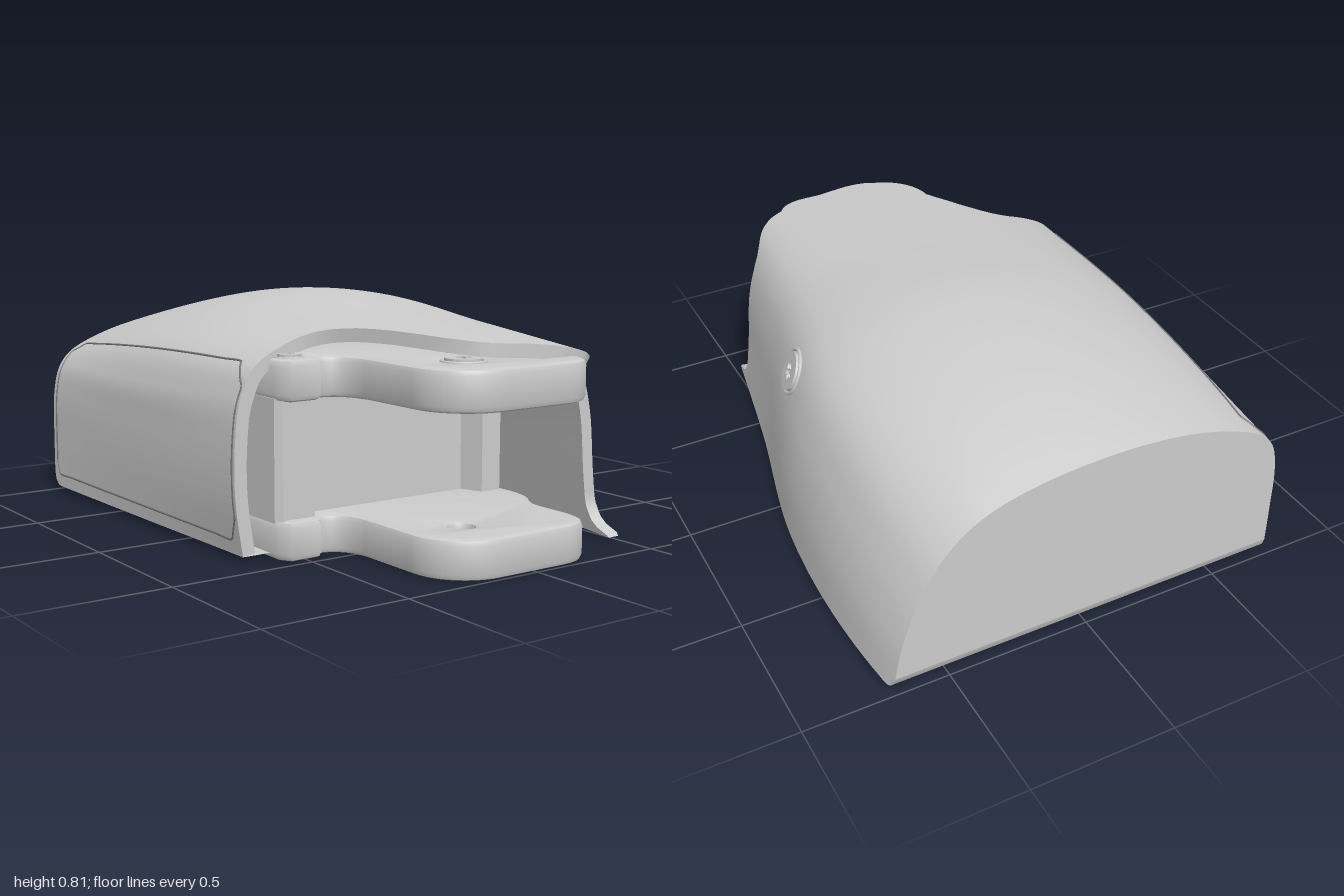
import * as THREE from 'three';
import { toCreasedNormals } from 'three/addons/utils/BufferGeometryUtils.js';

const material = new THREE.MeshStandardMaterial({ color: 0xcccccc });
const shellMaterial = new THREE.MeshStandardMaterial({ color: 0xcccccc, side: THREE.DoubleSide });
const seamMaterial = new THREE.MeshStandardMaterial({ color: 0x777777 });

// Cross-sections of the cover, from the bottom of the -x wall over the top to the +x wall
const stations = [-1, -0.2, 0.4, 0.9];
const sections = [
  [[-.71, .02], [-.71, .2], [-.705, .38], [-.67, .5], [-.57, .575], [-.35, .645], [-.08, .67], [.2, .65], [.4, .59], [.53, .48], [.61, .34], [.665, .18], [.695, .02]],
  [[-.70, .02], [-.715, .2], [-.715, .38], [-.70, .51], [-.62, .64], [-.38, .75], [-.08, .805], [.2, .785], [.42, .72], [.56, .62], [.64, .45], [.685, .24], [.70, .02]],
  [[-.69, .02], [-.715, .2], [-.715, .38], [-.69, .53], [-.61, .645], [-.36, .735], [-.08, .755], [.17, .735], [.36, .68], [.46, .59], [.515, .44], [.545, .24], [.57, .02]],
  [[-.69, .02], [-.715, .2], [-.715, .38], [-.68, .53], [-.6, .64], [-.36, .70], [-.1, .705], [.14, .685], [.31, .645], [.39, .57], [.435, .42], [.45, .22], [.475, .02]],
].map(pts => new THREE.SplineCurve(pts.map(p => new THREE.Vector2(...p))));

// Cubic interpolation of one value per station
function alongZ(v, z) {
  const s = stations, d = [0, 1, 2].map(i => (v[i + 1] - v[i]) / (s[i + 1] - s[i]));
  const mid = i => (d[i - 1] * (s[i + 1] - s[i]) + d[i] * (s[i] - s[i - 1])) / (s[i + 1] - s[i - 1]);
  const m = [2 * d[0] - mid(1), mid(1), mid(2), d[2]];
  const i = z < s[1] ? 0 : z < s[2] ? 1 : 2, h = s[i + 1] - s[i], t = (z - s[i]) / h, q = 1 - t;
  return v[i] * (1 + 2 * t) * q * q + v[i + 1] * t * t * (3 - 2 * t) + h * (m[i] * t * q * q - m[i + 1] * t * t * q);
}

// Lowest y of the cover, with a rounded bottom edge at the back
function floorY(z) {
  const d = Math.max(0, -0.95 - z);
  return 0.07 - Math.sqrt(Math.max(0, 0.0025 - d * d));
}

function outer(u, z) {
  const p = sections.map(c => c.getPoint(u));
  return new THREE.Vector3(alongZ(p.map(q => q.x), z), Math.max(floorY(z), alongZ(p.map(q => q.y), z)), z);
}

function inner(u, z) {
  const p = outer(u, z), e = 0.004;
  const t = outer(Math.min(1, u + e), z).sub(outer(Math.max(0, u - e), z)).normalize();
  return new THREE.Vector3(p.x + t.y * 0.045, Math.max(0.02, p.y - t.x * 0.045), z);
}

// Piecewise-linear lookup
function lookup(table, x) {
  if (x <= table[0][0]) return table[0][1];
  for (let i = 1; i < table.length; i++) {
    const [a, b] = [table[i - 1], table[i]];
    if (x <= b[0]) return a[1] + (b[1] - a[1]) * (x - a[0]) / (b[0] - a[0]);
  }
  return table[table.length - 1][1];
}
const frontByX = [[-.46, .39], [-.4, .42], [-.34, .49], [-.28, .6], [-.2, .78], [-.14, .86], [-.09, .89], [-.03, .9]];
const frontByY = [[.03, .87], [.045, .81], [.07, .77], [.12, .745], [.53, .745], [.575, .76], [.6, .79], [.63, .85], [.65, .88], [.68, .9]];

// Where the front rim cuts each line of the cover
function frontZ(u) {
  let z = 0.6;
  for (let i = 0; i < 12; i++) {
    const p = outer(u, z);
    z = p.x < 0.2 ? lookup(frontByX, p.x) : lookup(frontByY, p.y);
  }
  return z;
}

// Surface from a function of u and v, facing dv x du unless flipped
function surface(fn, nu, nv, flip = false) {
  const pos = [], idx = [];
  for (let i = 0; i <= nu; i++) for (let j = 0; j <= nv; j++) pos.push(...fn(i / nu, j / nv).toArray());
  for (let i = 0; i < nu; i++) for (let j = 0; j < nv; j++) {
    const a = i * (nv + 1) + j, b = a + 1, c = a + nv + 1, d = c + 1;
    idx.push(...(flip ? [a, c, b, b, c, d] : [a, b, c, b, d, c]));
  }
  const g = new THREE.BufferGeometry();
  g.setAttribute('position', new THREE.Float32BufferAttribute(pos, 3));
  g.setIndex(idx);
  g.computeVertexNormals();
  return g;
}

function add(parent, name, geometry, mat = material) {
  const mesh = new THREE.Mesh(geometry, mat);
  mesh.name = name;
  parent.add(mesh);
  return mesh;
}

// Horizontal slab from an outline in x and z, filling bottom to top
function slab(shape, bottom, top, bevel) {
  const g = new THREE.ExtrudeGeometry(shape, {
    depth: top - bottom - 2 * bevel, curveSegments: 16, bevelEnabled: bevel > 0,
    bevelSize: bevel, bevelThickness: bevel, bevelOffset: -bevel, bevelSegments: 2,
  });
  g.rotateX(Math.PI / 2).translate(0, top - bevel, 0);
  return toCreasedNormals(g, 0.6);
}

// Screw with a six-lobed socket and a ring around its head
function screw(name, radius, position, normal) {
  const group = new THREE.Group();
  group.name = name;
  const head = new THREE.Shape().absarc(0, 0, radius, 0, Math.PI * 2);
  const star = [];
  for (let i = 0; i < 48; i++) {
    const a = i / 48 * Math.PI * 2, r = radius * (0.4 + 0.09 * Math.cos(6 * a));
    star.push(new THREE.Vector2(r * Math.cos(a), r * Math.sin(a)));
  }
  head.holes.push(new THREE.Path(star));
  const headGeometry = new THREE.ExtrudeGeometry(head, { depth: 0.025, bevelEnabled: false, curveSegments: 24 });
  add(group, 'screwHead', toCreasedNormals(headGeometry, 0.6)).position.z = -0.013;
  add(group, 'socketFloor', new THREE.CircleGeometry(radius * 0.55, 24)).position.z = -0.005;
  add(group, 'screwRing', new THREE.TorusGeometry(radius * 1.14, radius * 0.1, 8, 40));
  group.position.copy(position);
  group.quaternion.setFromUnitVectors(new THREE.Vector3(0, 0, 1), normal);
  return group;
}

export function createModel() {
  const model = new THREE.Group();
  model.name = 'coveredBracket';

  // Cover: outer skin, lining, rim and closing faces
  const cover = new THREE.Group();
  cover.name = 'cover';
  model.add(cover);
  const cavityZ = -0.06;
  const shell = (name, ...args) => add(cover, name, surface(...args), shellMaterial);
  shell('outerSkin', (u, v) => outer(u, -1 + (frontZ(u) + 1) * v ** 1.4), 120, 48);
  shell('innerLining', (u, v) => inner(u, cavityZ + (frontZ(u) - cavityZ) * v), 120, 16, true);
  shell('frontRim', (u, v) => outer(u, frontZ(u)).lerp(inner(u, frontZ(u)), v), 120, 1);
  const wall = (fn, z) => (u, v) => {
    const p = fn(u, z);
    p.y += (floorY(z) - p.y) * v;
    return p;
  };
  shell('backFace', wall(outer, -1), 120, 1, true);
  shell('cavityBack', wall(inner, cavityZ), 120, 1);
  shell('floor', (u, v) => {
    const z = -1 + 1.39 * v ** 1.4;
    return outer(0, z).lerp(outer(1, z), u).setY(floorY(z));
  }, 8, 40, true);
  shell('wallFoot', (u, v) => {
    const z = 0.39 + (frontZ(1) - 0.39) * v;
    return inner(1, z).lerp(outer(1, z), u);
  }, 1, 12, true);

  // Seam of the side panel, following the cover
  const low = 0.35 / 12, high = 3.85 / 12, seam = [];
  const corners = [[low, -.95], [low, .34], [.06, .375], [high - .05, .375], [high, .3], [high, -.92], [high - .03, -.97], [low + .02, -.97]];
  corners.forEach((c, i) => {
    const n = corners[(i + 1) % corners.length];
    for (let k = 0; k < 12; k++) {
      const t = k / 12;
      seam.push(outer(c[0] + (n[0] - c[0]) * t, c[1] + (n[1] - c[1]) * t));
    }
  });
  add(cover, 'sidePanelSeam', new THREE.TubeGeometry(new THREE.CatmullRomCurve3(seam, true), 240, 0.004, 6, true), seamMaterial);

  // Screw in the +x side
  const su = 9.5 / 12, at = outer(su, 0.03);
  const normal = outer(su, 0.05).sub(outer(su, 0.01)).cross(outer(su + 0.01, 0.03).sub(outer(su - 0.01, 0.03))).normalize();
  cover.add(screw('sideScrew', 0.068, at, normal));

  // Bracket: two equal plates joined by a recessed block
  const bracket = new THREE.Group();
  bracket.name = 'bracket';
  model.add(bracket);
  const plate = new THREE.Shape();
  plate.moveTo(-.59, -.06).lineTo(.34, -.06).lineTo(.34, .5);
  plate.quadraticCurveTo(.34, .58, .3, .63).quadraticCurveTo(.26, .68, .26, .75);
  plate.lineTo(.26, .87).quadraticCurveTo(.25, .99, .13, 1).lineTo(-.14, 1);
  plate.absarc(-.14, .8, .2, Math.PI / 2, Math.PI, false);
  plate.lineTo(-.34, .56).quadraticCurveTo(-.35, .44, -.43, .44);
  plate.lineTo(-.45, .475).lineTo(-.56, .475).lineTo(-.59, .43).closePath();
  plate.holes.push(new THREE.Path().absarc(-.14, .8, .04, 0, Math.PI * 2, true));
  add(bracket, 'lowerPlate', slab(plate, 0, 0.13, 0.02));
  add(bracket, 'upperPlate', slab(plate, 0.51, 0.645, 0.02));

  const block = new THREE.Shape([
    [-.59, -.06], [.34, -.06], [.34, .42], [.31, .46], [.23, .46], [.2, .38], [-.41, .38], [-.45, .44], [-.57, .44], [-.59, .42],
  ].map(p => new THREE.Vector2(...p)));
  add(bracket, 'middleBlock', slab(block, 0.12, 0.52, 0));

  // Screws through both plates
  for (const [y, dir, side] of [[0.645, 1, 'upper'], [0.012, -1, 'lower']]) {
    const n = new THREE.Vector3(0, dir, 0);
    bracket.add(screw(side + 'PivotScrew', 0.06, new THREE.Vector3(-.14, y, .8), n));
    bracket.add(screw(side + 'SideScrew', 0.04, new THREE.Vector3(-.52, y, .4), n));
  }
  return model;
}
